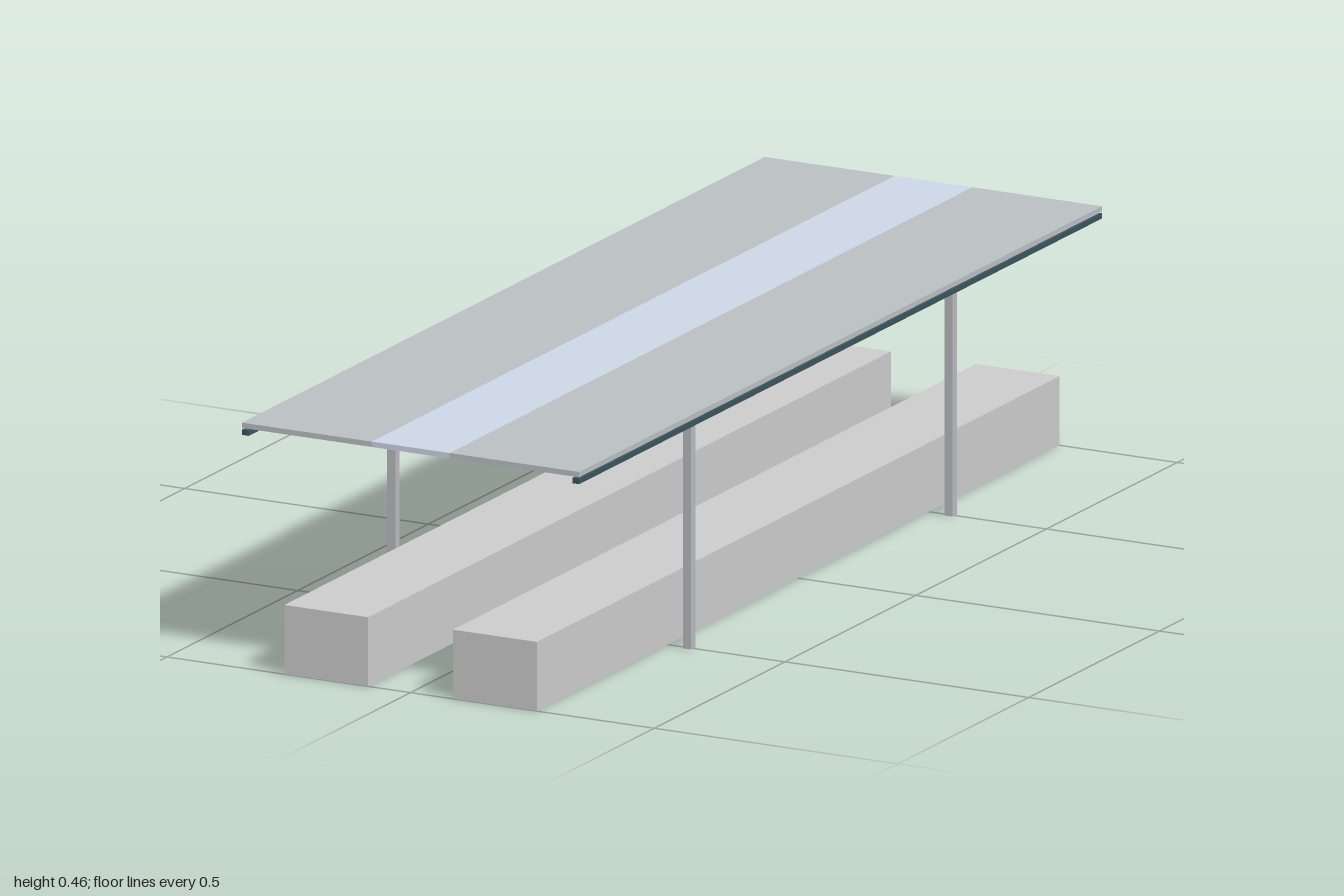
import * as THREE from 'three';

const material = (color) => new THREE.MeshStandardMaterial({ color });

export function createModel() {
  const model = new THREE.Group();
  const concrete = material(0xcccccc);
  const steel = material(0xb8babe);
  const roofing = material(0xbabfc1);
  const glass = material(0xccd6e6);
  const gutterPaint = material(0x3c545c);

  // Box given by its x and y limits, its depth and its z centre
  function addBox(name, mat, x0, x1, y0, y1, depth, z = 0) {
    const mesh = new THREE.Mesh(new THREE.BoxGeometry(x1 - x0, y1 - y0, depth), mat);
    mesh.position.set((x0 + x1) / 2, (y0 + y1) / 2, z);
    mesh.name = name;
    model.add(mesh);
  }

  // Glazed strip along the middle of the roof
  addBox('skylight', glass, -0.08, 0.08, 0.451, 0.461, 2);

  for (const side of [1, -1]) {
    const prefix = side > 0 ? 'left' : 'right';
    const mirrored = (name, mat, a, b, ...rest) =>
      addBox(prefix + name, mat, Math.min(side * a, side * b), Math.max(side * a, side * b), ...rest);

    mirrored('RoofPanel', roofing, 0.08, 0.346, 0.451, 0.461, 2);
    // Gutter hung just under the outer roof edge
    mirrored('Gutter', gutterPaint, 0.332, 0.346, 0.438, 0.448, 2);
    // Long solid plinth
    mirrored('Plinth', concrete, 0.087, 0.259, 0, 0.13, 2);
    // Two slim posts
    mirrored('FrontPost', steel, 0.295, 0.312, 0, 0.451, 0.017, 0.5);
    mirrored('BackPost', steel, 0.295, 0.312, 0, 0.451, 0.017, -0.5);
  }
  return model;
}
